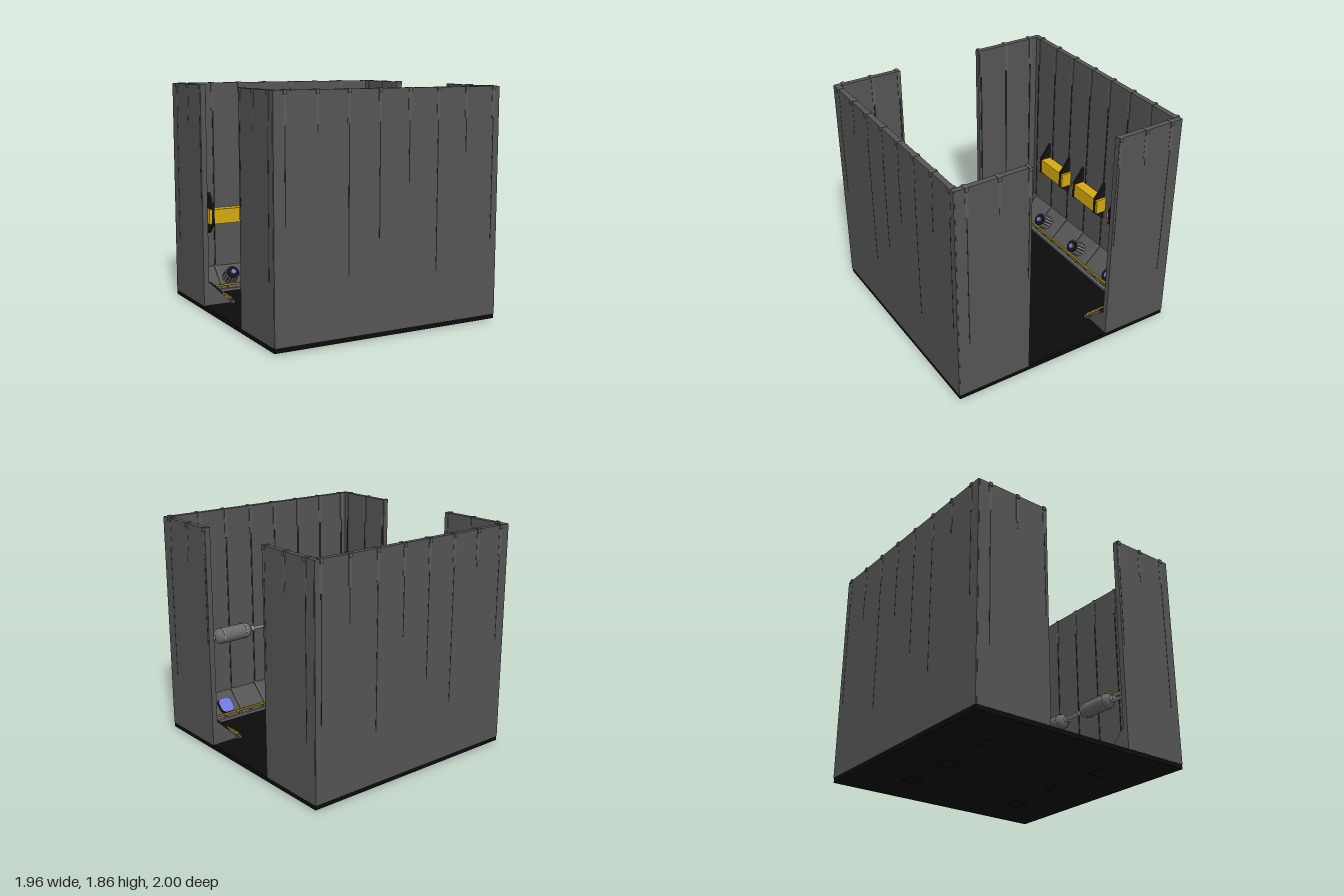
import * as THREE from 'three';

const mat = (color, extra = {}) => new THREE.MeshStandardMaterial({ color, ...extra });
const M = {
  wall: mat(0x555555), rib: mat(0x5c5c5c), seam: mat(0x262626), floor: mat(0x0c0c0c),
  pipe: mat(0x8c8c8c), tank: mat(0x6a6a6a), yellow: mat(0xd6aa10), black: mat(0x141414), blue: mat(0x7078e0),
};

function add(parent, name, geo, material, x = 0, y = 0, z = 0) {
  const m = new THREE.Mesh(geo, material);
  m.name = name;
  m.position.set(x, y, z);
  parent.add(m);
  return m;
}
// Box given by its lower and upper corner
function block(parent, name, material, [x0, y0, z0], [x1, y1, z1]) {
  return add(parent, name, new THREE.BoxGeometry(x1 - x0, y1 - y0, z1 - z0), material,
    (x0 + x1) / 2, (y0 + y1) / 2, (z0 + z1) / 2);
}
// Solid outline in (z, y), extruded along x
function prism(parent, name, material, pts, x0, x1) {
  const s = new THREE.Shape(pts.map(([z, y]) => new THREE.Vector2(-z, y)));
  const g = new THREE.ExtrudeGeometry(s, { depth: x1 - x0, bevelEnabled: false });
  g.rotateY(Math.PI / 2);
  return add(parent, name, g, material, x0, 0, 0);
}
function tube(parent, name, material, pts, r) {
  const path = new THREE.CurvePath();
  const v = pts.map(p => new THREE.Vector3(...p));
  for (let i = 1; i < v.length; i++) path.add(new THREE.LineCurve3(v[i - 1], v[i]));
  const curve = v.length > 2 ? new THREE.CatmullRomCurve3(v, false, 'catmullrom', 0.2) : path;
  return add(parent, name, new THREE.TubeGeometry(curve, v.length > 2 ? 20 : 1, r, 10), material);
}

const T = 0.045, FLOOR = 0.05, TOP = 1.86, SLOPE = 0.235, REACH = 0.24;
const SEAMS = [0.95, 0.3, 1.35, 1.1, 0.7, 1.4, 0.5, 1.2];

// Rounded lamp lying on the sloped skirting
function slopeLamp(parent, x) {
  const w = 0.065, h = 0.068, r = 0.045;
  const s = new THREE.Shape();
  s.moveTo(-w + r, -h);
  s.absarc(w - r, -h + r, r, -Math.PI / 2, 0);
  s.absarc(w - r, h - r, r, 0, Math.PI / 2);
  s.absarc(-w + r, h - r, r, Math.PI / 2, Math.PI);
  s.absarc(-w + r, -h + r, r, Math.PI, Math.PI * 1.5);
  const lamp = new THREE.Group();
  lamp.name = 'slopeLamp';
  add(lamp, 'lampHousing', new THREE.ExtrudeGeometry(s, { depth: 0.03, bevelEnabled: false }), M.black);
  add(lamp, 'lampFace', new THREE.ShapeGeometry(s), M.blue, 0, 0, 0.0315);
  lamp.position.set(x, 0.135, 0.15);
  lamp.rotation.x = -Math.PI / 4;
  parent.add(lamp);
}

// Ribbed drum lamp standing out of the skirting
function drumLamp(parent, x) {
  const lamp = new THREE.Group();
  lamp.name = 'drumLamp';
  const drum = new THREE.CylinderGeometry(0.054, 0.054, 0.13, 20).rotateX(Math.PI / 2);
  add(lamp, 'drum', drum, M.black, 0, 0, 0.06);
  for (let i = 0; i < 14; i++) {
    const a = i / 14 * Math.PI * 2;
    const bar = add(lamp, 'drumBar', new THREE.BoxGeometry(0.018, 0.016, 0.115), M.pipe,
      Math.cos(a) * 0.056, Math.sin(a) * 0.056, 0.055);
    bar.rotation.z = a - Math.PI / 2;
  }
  add(lamp, 'drumLight', new THREE.CylinderGeometry(0.025, 0.025, 0.03, 8).rotateX(Math.PI / 2), M.blue, 0, 0, 0.125);
  lamp.position.set(x, 0.13, 0.14);
  lamp.rotation.x = -0.67;
  parent.add(lamp);
}

// Wall piece along local x: outer face at z = 0, room side towards +z
function wallPiece(name, x0, x1, ribs, lamps, rail) {
  const g = new THREE.Group();
  g.name = name;
  block(g, 'wallPanel', M.wall, [x0, FLOOR, 0], [x1, TOP, T]);
  prism(g, 'slopedSkirting', M.wall, [[T - 0.01, FLOOR - 0.01], [REACH, FLOOR - 0.01], [REACH, FLOOR], [T, SLOPE], [T - 0.01, SLOPE]], x0 + 0.003, x1 - 0.003);
  ribs.forEach((x, i) => {
    block(g, 'topClip', M.rib, [x - 0.014, 1.62, -0.002], [x + 0.014, TOP + 0.004, T + 0.005]);
    block(g, 'topStud', M.rib, [x - 0.014, TOP - 0.03, -0.01], [x + 0.014, TOP + 0.004, 0.01]);
    block(g, 'outerSeam', M.seam, [x - 0.004, TOP - SEAMS[i % 8], -0.001], [x + 0.004, 1.62, 0.01]);
    block(g, 'innerRib', M.seam, [x - 0.006, SLOPE, T - 0.01], [x + 0.006, 1.62, T + 0.004]);
    prism(g, 'skirtingRib', M.rib, [[T, SLOPE - 0.01], [REACH - 0.01, FLOOR], [REACH + 0.008, FLOOR], [T, SLOPE + 0.014]], x - 0.012, x + 0.012);
  });
  lamps.forEach(x => slopeLamp(g, x));
  // Kerb and safety rail along the foot of the skirting
  const [r0, r1] = rail;
  block(g, 'kerb', M.tank, [r0, FLOOR - 0.01, REACH], [r1, FLOOR + 0.02, REACH + 0.025]);
  block(g, 'safetyRail', M.yellow, [r0, 0.094, REACH - 0.015], [r1, 0.106, REACH - 0.002]);
  const n = Math.max(2, Math.round((r1 - r0) / 0.13));
  for (let i = 0; i <= n; i++) {
    const x = r0 + 0.012 + (r1 - r0 - 0.024) * i / n;
    block(g, 'railPost', M.tank, [x - 0.006, FLOOR, REACH - 0.014], [x + 0.006, 0.095, REACH - 0.003]);
  }
  return g;
}

// Pressure tank along local y, centred
function tank(parent, name, len, r, striped) {
  const g = new THREE.Group();
  g.name = name;
  const h = len / 2;
  const pts = [[0, -h], [r * 0.55, -h], [r * 0.9, -h + 0.025], [r, -h + 0.055], [r, h - 0.055], [r * 0.9, h - 0.025], [r * 0.55, h], [0, h]];
  add(g, 'tankBody', new THREE.LatheGeometry(pts.map(p => new THREE.Vector2(...p)), 20), M.tank);
  for (const s of [-1, 1])
    add(g, 'tankBand', new THREE.CylinderGeometry(r + 0.003, r + 0.003, 0.012, 20), M.pipe, 0, s * (h - 0.065), 0);
  if (striped) for (let i = 0; i < 4; i++) {
    const y = -h + 0.033 + i * (len - 0.066) / 3;
    const strip = new THREE.CylinderGeometry(r + 0.004, r + 0.004, 0.057, 8, 1, true, Math.PI / 2 - 0.42, 0.84);
    add(g, 'warningStripe', strip, mat(0xd6aa10, { side: THREE.DoubleSide }), 0, y, 0);
  }
  parent.add(g);
  return g;
}

export function createModel() {
  const root = new THREE.Group();
  root.name = 'openRoom';

  // Floor slab and feet
  block(root, 'floor', M.floor, [-0.97, 0.012, -0.985], [0.97, FLOOR, 0.985]);
  for (const x of [-0.52, 0, 0.52]) for (const z of [-0.53, 0.53])
    block(root, 'footPad', M.floor, [x - 0.06, 0, z - 0.06], [x + 0.06, 0.015, z + 0.06]);

  // Front and back walls
  const ribX = [-0.88, -0.625, -0.37, -0.11, 0.145, 0.4, 0.66, 0.915];
  const back = wallPiece('backWall', -0.97, 0.97, ribX, [], [-0.73, 0.73]);
  back.position.z = -0.99;
  const front = wallPiece('frontWall', -0.97, 0.97, ribX.map(x => -x), [-0.54, -0.02, 0.5], [-0.73, 0.73]);
  front.position.z = 0.99;
  front.rotation.y = Math.PI;

  // Side walls leave a doorway in the middle; local x is z on the left and -z on the right
  const left = [
    wallPiece('leftBackWall', -0.98, -0.39, [-0.41, -0.65, -0.89], [-0.54], [-0.77, -0.37]),
    wallPiece('leftFrontWall', 0.36, 0.98, [0.38, 0.63, 0.89], [0.5], [0.34, 0.77])];
  const right = [
    wallPiece('rightBackWall', 0.34, 0.98, [0.365, 0.625, 0.88], [0.49], [0.32, 0.77]),
    wallPiece('rightFrontWall', -0.98, -0.41, [-0.43, -0.665, -0.91], [-0.55], [-0.77, -0.385])];
  left.forEach(w => { w.position.x = 0.972; w.rotation.y = -Math.PI / 2; });
  right.forEach(w => { w.position.x = -0.972; w.rotation.y = Math.PI / 2; });
  root.add(back, front, ...left, ...right);

  // Drum lamps and strapped lockers on the back wall
  for (const x of [-0.535, -0.015, 0.505]) {
    drumLamp(back, x);
    const c = x + 0.015;
    block(back, 'locker', M.yellow, [c - 0.19, 0.63, T], [c + 0.19, 0.76, 0.14]);
    for (const s of [-1, 1])
      prism(back, 'lockerBracket', M.black, [[T, 0.54], [0.145, 0.625], [0.145, 0.765], [T, 0.9]], c + s * 0.155 - 0.012, c + s * 0.155 + 0.012);
  }

  // Horizontal tanks along the front wall
  const Y = 0.78, Z = 0.87;
  [[-0.755, true], [-0.17, true], [0.42, false]].forEach(([x, striped]) => {
    const t = tank(root, 'horizontalTank', 0.36, 0.068, striped);
    t.position.set(x, Y, Z);
    t.rotation.z = Math.PI / 2;
    // stripes face up
    t.children.forEach(m => { if (m.name === 'warningStripe') m.rotation.y = 0; });
    for (const s of [-0.1, 0.1]) block(root, 'tankMount', M.black, [x + s - 0.012, Y - 0.03, Z + 0.03], [x + s + 0.012, Y + 0.03, 0.95]);
  });
  for (const dy of [-0.022, 0.022])
    tube(root, 'twinPipe', M.pipe, [[-0.6, Y + dy, Z], [-0.33, Y + dy, Z]], 0.013);
  tube(root, 'linkPipe', M.pipe, [[0, Y, Z], [0.26, Y, Z]], 0.014);
  tube(root, 'linkPipe', M.pipe, [[0.58, Y, Z], [0.86, Y, Z]], 0.014);
  for (const x of [-0.56, -0.37, 0.035, 0.215, 0.63, 0.81])
    add(root, 'pipeCollar', new THREE.CylinderGeometry(0.026, 0.026, 0.04, 10).rotateZ(Math.PI / 2), M.pipe, x, Y, Z);

  // Vertical tanks in the front left corner
  const X = 0.88;
  for (const y of [0.81, 1.4]) {
    tank(root, 'verticalTank', 0.43, 0.053, false).position.set(X, y, Z);
    add(root, 'pipeCollar', new THREE.CylinderGeometry(0.025, 0.025, 0.03, 10), M.pipe, X, y + 0.225, Z);
    tube(root, 'elbowPipe', M.pipe, [[X, y + 0.21, Z], [X, y + 0.26, Z], [X, y + 0.285, Z + 0.035], [X, y + 0.32, Z + 0.05]], 0.018);
  }
  tube(root, 'elbowPipe', M.pipe, [[X, 1.125, Z + 0.05], [X, 1.15, Z + 0.03], [X, 1.165, Z], [X, 1.2, Z]], 0.018);
  tube(root, 'wallPipe', M.pipe, [[X, 1.71, Z + 0.045], [X, 1.73, Z + 0.06], [X, 1.735, Z + 0.09]], 0.018);

  return root;
}
